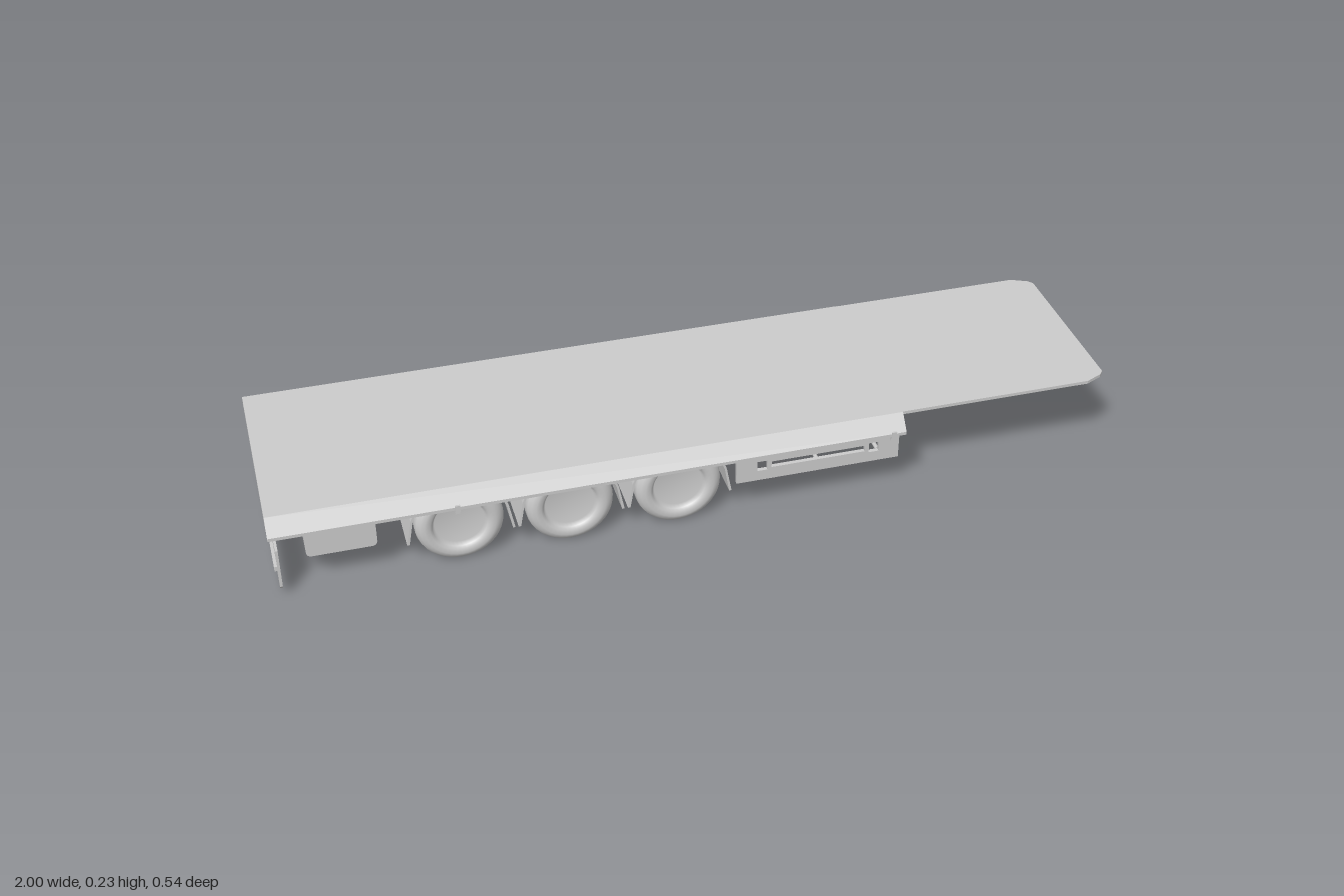
import * as THREE from 'three';

const mat = new THREE.MeshStandardMaterial({ color: 0xcccccc, side: THREE.DoubleSide });

export function createModel() {
  const root = new THREE.Group();
  root.name = 'flatbedTrailer';

  const add = (name, geo) => {
    const m = new THREE.Mesh(geo, mat);
    m.name = name;
    root.add(m);
    return m;
  };
  // box given by its limits on each axis
  const box = (name, x0, x1, y0, y1, z0, z1) =>
    add(name, new THREE.BoxGeometry(x1 - x0, y1 - y0, Math.abs(z1 - z0))
      .translate((x0 + x1) / 2, (y0 + y1) / 2, (z0 + z1) / 2));
  const rod = (name, a, b, r, sides = 12) => {
    const p = new THREE.Vector3(...a), q = new THREE.Vector3(...b);
    const m = add(name, new THREE.CylinderGeometry(r, r, p.distanceTo(q), sides));
    m.position.copy(p).lerp(q, 0.5);
    m.quaternion.setFromUnitVectors(new THREE.Vector3(0, 1, 0), q.sub(p).normalize());
  };
  const shapeOf = (pts) => new THREE.Shape(pts.map((p) => new THREE.Vector2(...p)));
  const extrude = (shape, depth) =>
    new THREE.ExtrudeGeometry(shape, { depth, bevelEnabled: false, curveSegments: 24 });
  // section drawn as (z, y), extruded along x from x0 to x1
  const alongX = (name, pts, x0, x1) =>
    add(name, extrude(shapeOf(pts), x1 - x0).rotateY(Math.PI / 2).scale(1, 1, -1)
      .translate(x0, 0, 0));

  // deck plate with cut front corners
  const deck = shapeOf([[-1, -0.235], [0.95, -0.235], [0.99, -0.217], [1, -0.205],
    [1, 0.205], [0.99, 0.217], [0.95, 0.235], [-1, 0.235]]);
  add('deck', extrude(deck, 0.008).rotateX(-Math.PI / 2).translate(0, 0.224, 0));

  // coupling pin under the nose
  rod('couplingNeck', [0.75, 0.21, 0], [0.75, 0.226, 0], 0.007);
  add('couplingBall', new THREE.SphereGeometry(0.012, 20, 14).translate(0.75, 0.208, 0));

  // end beams of the frame
  box('frontCrossBeam', 0.465, 0.48, 0.214, 0.225, -0.235, 0.235);
  box('rearPanel', -1, -0.992, 0.19, 0.226, -0.232, 0.232);
  box('rearFrameBeam', -0.99, -0.965, 0.14, 0.19, -0.07, 0.07);

  // rear underrun plate with a folded lower lip
  const rear = shapeOf([[-0.24, 0.035], [-0.225, 0.019], [0.225, 0.019], [0.24, 0.035],
    [0.24, 0.137], [-0.24, 0.137]]);
  add('rearPlate', extrude(rear, 0.006).rotateY(Math.PI / 2).translate(-0.987, 0, 0));
  box('rearPlateRib', -0.994, -0.986, 0.08, 0.092, -0.238, 0.238);

  // wheel and mudguard sections
  const tyre = [[0, -0.016], [0.058, -0.016], [0.064, -0.026], [0.07, -0.031], [0.082, -0.033],
    [0.092, -0.028], [0.1, -0.021], [0.103, -0.012], [0.103, 0.012], [0.1, 0.021],
    [0.092, 0.028], [0.082, 0.033], [0.07, 0.031], [0.064, 0.026], [0.058, 0.016], [0, 0.016]]
    .map((p) => new THREE.Vector2(...p));
  const wheelGeo = new THREE.LatheGeometry(tyre, 40).rotateX(Math.PI / 2);
  const guard = () => {
    const a = 0.3, o = 0.118, i = 0.113, s = new THREE.Shape();
    s.moveTo(0.125, -0.03);
    s.lineTo(o * Math.cos(a), o * Math.sin(a));
    s.absarc(0, 0, o, a, Math.PI - a, false);
    s.lineTo(-0.125, -0.03);
    s.lineTo(-0.119, -0.03);
    s.lineTo(-i * Math.cos(a), i * Math.sin(a));
    s.absarc(0, 0, i, Math.PI - a, a, true);
    s.lineTo(0.119, -0.03);
    return extrude(s, 0.14);
  };
  const axles = [-0.57, -0.313, -0.055];

  for (const s of [1, -1]) {
    // sloped side skirt with a hanging flange
    alongX('sideSkirt', [[0.232, 0.232], [0.236, 0.232], [0.267, 0.196], [0.267, 0.188],
      [0.259, 0.188], [0.259, 0.194], [0.232, 0.224]].map(([z, y]) => [z * s, y]), -1, 0.48);
    for (const x of [-0.58, 0.45]) {
      box('skirtHook', x - 0.006, x + 0.006, 0.174, 0.195, s * 0.256, s * 0.263);
      box('skirtHookFoot', x - 0.006, x + 0.006, 0.182, 0.2, s * 0.263, s * 0.268);
    }
    box('sideBeam', -1, 0.48, 0.205, 0.225, s * 0.218, s * 0.225);

    // main chassis rail as an I section
    box('railWeb', -0.99, 0.45, 0.135, 0.224, s * 0.053, s * 0.058);
    box('railTopFlange', -0.99, 0.45, 0.216, 0.224, s * 0.042, s * 0.069);
    box('railBottomFlange', -0.99, 0.45, 0.129, 0.137, s * 0.042, s * 0.069);
    box('plateBracket', -0.985, -0.96, 0.05, 0.15, s * 0.05, s * 0.06);

    // side guard panel with three windows
    const panel = shapeOf([[0.08, 0.095], [0.48, 0.095], [0.48, 0.17], [0.08, 0.17]]);
    for (const [x0, x1, y0, y1] of [[0.13, 0.155, 0.122, 0.148], [0.165, 0.395, 0.127, 0.143],
      [0.405, 0.43, 0.122, 0.148]])
      panel.holes.push(shapeOf([[x0, y0], [x0, y1], [x1, y1], [x1, y0]]));
    add('sideGuard', extrude(panel, 0.01).translate(0, 0, s > 0 ? 0.216 : -0.226));
    for (const x of [0.13, 0.43])
      box('guardPost', x - 0.008, x + 0.008, 0.165, 0.224, s * 0.208, s * 0.218);

    // rear storage box with rounded lower edges
    const b = new THREE.Shape();
    b.moveTo(-0.92, 0.2);
    b.lineTo(-0.92, 0.1);
    b.quadraticCurveTo(-0.92, 0.086, -0.906, 0.086);
    b.lineTo(-0.774, 0.086);
    b.quadraticCurveTo(-0.76, 0.086, -0.76, 0.1);
    b.lineTo(-0.76, 0.2);
    add('storageBox', extrude(b, 0.12).translate(0, 0, s > 0 ? 0.095 : -0.215));

    for (const x of axles) {
      for (const z of [0.185, 0.122]) add('wheel', wheelGeo).position.set(x, 0.104, s * z);
      add('mudguard', guard()).position.set(x, 0.104, s > 0 ? 0.08 : -0.22);

      // suspension: hanger, trailing arm, air spring and damper
      alongX('hanger', [[0.044, 0.13], [0.067, 0.13], [0.067, 0.05], [0.062, 0.045],
        [0.049, 0.045], [0.044, 0.05]].map(([z, y]) => [z * s, y]), x + 0.075, x + 0.1);
      rod('trailingArm', [x + 0.088, 0.065, s * 0.055], [x - 0.08, 0.082, s * 0.055], 0.009);
      rod('airSpring', [x - 0.075, 0.082, s * 0.055], [x - 0.075, 0.132, s * 0.055], 0.022, 20);
      rod('damper', [x + 0.005, 0.075, s * 0.07], [x + 0.06, 0.16, s * 0.07], 0.005);
      box('springFoot', x - 0.01, x + 0.01, 0.03, 0.09, s * 0.048, s * 0.063);
    }
  }

  // axles and the frame members joining both sides
  for (const x of axles) {
    rod('axle', [x, 0.095, -0.2], [x, 0.095, 0.2], 0.013, 16);
    box('axleCrossMember', x + 0.08, x + 0.095, 0.14, 0.2, -0.055, 0.055);
  }
  for (const x of [0.13, 0.28, 0.43]) rod('crossTube', [x, 0.12, -0.216], [x, 0.12, 0.216], 0.005);
  for (const x of [-0.7, -0.185, 0.13, 0.43])
    box('crossBeam', x - 0.006, x + 0.006, 0.2, 0.224, -0.22, 0.22);

  return root;
}
